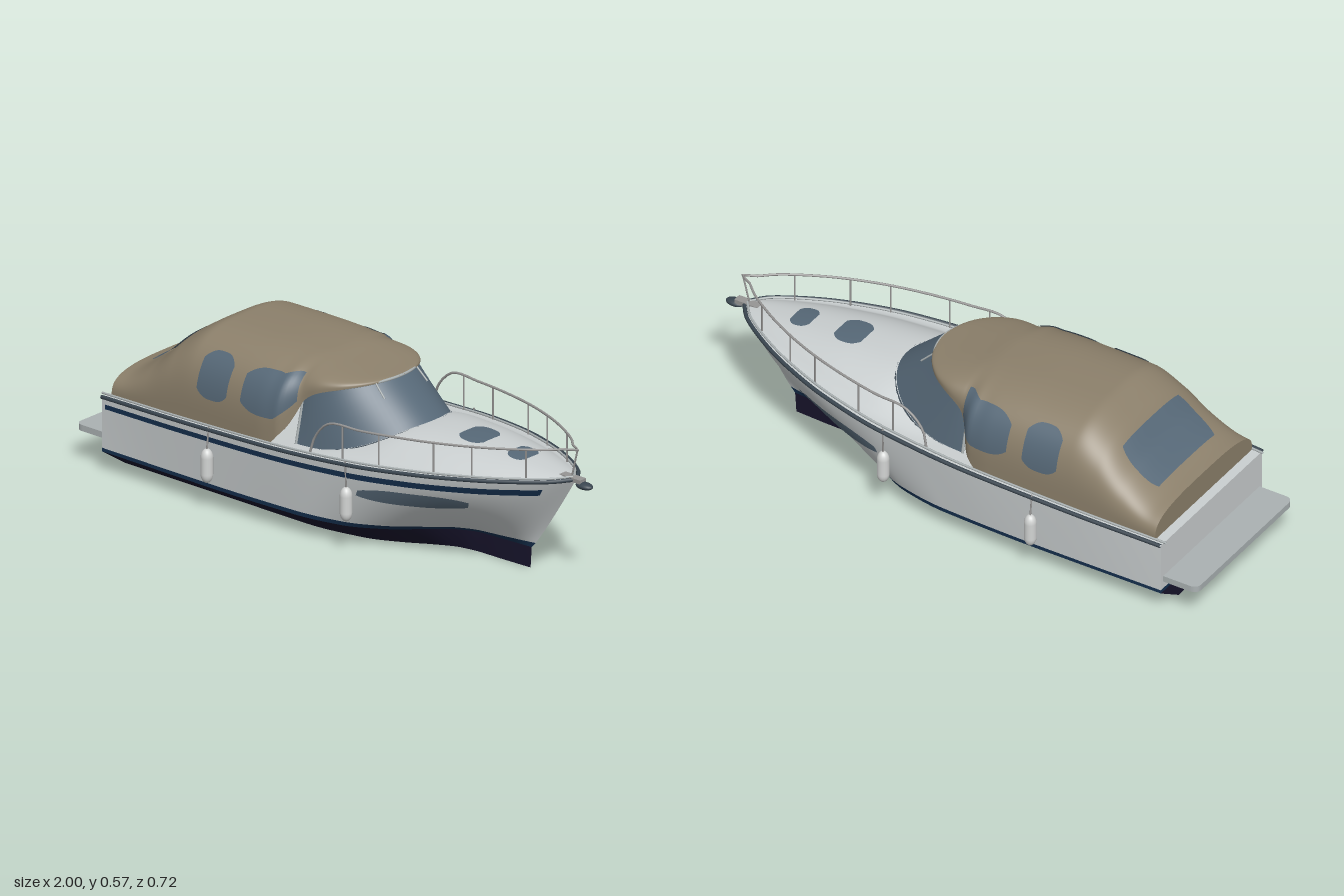
import * as THREE from 'three';

const mat = (name, color) => {
  const m = new THREE.MeshStandardMaterial({ color, side: THREE.DoubleSide });
  m.name = name;
  return m;
};
const lerp = THREE.MathUtils.lerp;

// smooth, overshoot-free curve through [x, y] pairs
function curve(pts) {
  const n = pts.length - 1, d = [], m = [];
  for (let i = 0; i < n; i++) d.push((pts[i + 1][1] - pts[i][1]) / (pts[i + 1][0] - pts[i][0]));
  for (let i = 0; i <= n; i++) {
    const a = d[Math.max(i - 1, 0)], b = d[Math.min(i, n - 1)];
    m.push(a * b <= 0 ? 0 : (2 * a * b) / (a + b));
  }
  return (x) => {
    x = Math.min(Math.max(x, pts[0][0]), pts[n][0]);
    let i = 0;
    while (i < n - 1 && x > pts[i + 1][0]) i++;
    const h = pts[i + 1][0] - pts[i][0], t = (x - pts[i][0]) / h, t2 = t * t, t3 = t2 * t;
    return (2 * t3 - 3 * t2 + 1) * pts[i][1] + (t3 - 2 * t2 + t) * h * m[i]
      + (3 * t2 - 2 * t3) * pts[i + 1][1] + (t3 - t2) * h * m[i + 1];
  };
}

// hull lines: u runs stern to stem, widths are half-beams; the low forefoot pinches into a fin
const sheerW = curve([[0, .31], [.2, .325], [.4, .33], [.6, .312], [.73, .27], [.85, .195], [.93, .118], [.98, .05], [1, 0]]);
const sheerY = curve([[0, .265], [.48, .3], [.76, .335], [1, .363]]);
const chineW = curve([[0, .31], [.3, .313], [.52, .303], [.63, .272], [.71, .205], [.77, .12], [.82, .048], [.87, .015], [.92, .009], [1, 0]]);
const keelW = curve([[0, .2], [.5, .2], [.64, .165], [.71, .115], [.77, .058], [.82, .02], [.87, .008], [.92, .006], [1, 0]]);
const bulge = curve([[0, 1], [.5, 1.1], [.82, 2.2], [.92, 2], [1, 1.3]]);
const CHINE = .073, STERN = -.87, BOOT = .065;

const hull = (side, u, t) => [
  lerp(STERN, .735 + .195 * Math.pow(t, .9), u),
  lerp(CHINE, sheerY(u), t),
  side * lerp(chineW(u), sheerW(u), 1 - Math.pow(1 - t, bulge(u))),
];
const bottom = (side, u, t) => [
  lerp(STERN, .73 + .005 * t, u), CHINE * t, side * lerp(keelW(u), chineW(u), t),
];

// deck with a raised foredeck
const domeH = curve([[STERN, 0], [0, 0], [.15, .055], [.3, .083], [.45, .075], [.65, .05], [.85, .015], [.93, 0]]);
const deckY = (x, z) => {
  const u = (x - STERN) / 1.8, v = Math.abs(z) / Math.max(sheerW(u), .001);
  return sheerY(u) + domeH(x) * (1 - Math.pow(Math.min(1, v / .85), 2.5));
};

// canopy: superellipse sections along x, the front rounding in over the windscreen
const N = 3.1;
const canW = curve([[-.84, .297], [-.2, .308], [-.12, .299], [-.06, .238], [0, .225], [.06, .198], [.11, .153], [.145, .095], [.165, .02]]);
const canTop = curve([[-.84, .36], [-.8, .37], [-.7, .435], [-.6, .525], [-.5, .573], [-.3, .574], [-.1, .566], [0, .55], [.1, .535], [.165, .528]]);
const canBase = curve([[-.84, .27], [-.16, .288], [-.1, .345], [-.05, .45], [0, .483], [.06, .502], [.11, .513], [.165, .522]]);
const canopy = (x, a) => {
  const c = Math.cos(a), s = Math.max(Math.sin(a), 0), b = canBase(x);
  return [x, b + (canTop(x) - b) * Math.pow(s, 2 / N), Math.sign(c) * canW(x) * Math.pow(Math.abs(c), 2 / N)];
};
const canopySide = (side, x, y) => {
  const k = (y - canBase(x)) / (canTop(x) - canBase(x));
  return [x, y, side * (canW(x) * Math.pow(Math.max(0, 1 - Math.pow(Math.max(k, 0), N)), 1 / N) + .006)];
};
const canopyRoof = (x, z) => {
  const b = canBase(x);
  return [x, b + (canTop(x) - b) * Math.pow(1 - Math.pow(Math.abs(z) / canW(x), N), 1 / N) + .006, z];
};

// wraparound windscreen, a from -1 to 1 across, t base to top
const screen = (a, t) => {
  const q = a * Math.PI / 2, c = Math.max(Math.cos(q), 0), s = Math.sin(q);
  const bx = -.07 + .38 * Math.pow(c, .8), bz = .255 * s;
  return [lerp(bx, -.07 + .232 * c, t), lerp(deckY(bx, bz) - .006, .44 + .084 * Math.sqrt(c), t), lerp(bz, .22 * s, t)];
};

export function createModel() {
  const g = new THREE.Group();
  g.name = 'cabinCruiser';
  const white = mat('gelcoat white', 0xc9cecf), antifoul = mat('antifouling navy', 0x17142b);
  const blue = mat('stripe blue', 0x15304f), tan = mat('canvas tan', 0x8c806b);
  const glass = mat('tinted glass', 0x566877), rubber = mat('rub rail slate', 0x3a4650);
  const steel = mat('stainless steel', 0x969594), grey = mat('platform grey', 0xaab1b2);
  const fenderMat = mat('fender white', 0xd2d4d3);

  const add = (geo, m, name) => {
    const mesh = new THREE.Mesh(geo, m);
    mesh.name = name;
    g.add(mesh);
    return mesh;
  };
  // grid over fn(a, b) with a and b in 0..1
  const surf = (fn, na, nb, m, name) => {
    const pos = [], idx = [];
    for (let i = 0; i <= na; i++) for (let j = 0; j <= nb; j++) {
      pos.push(...fn(i / na, j / nb));
      if (i < na && j < nb) {
        const k = i * (nb + 1) + j, l = k + nb + 1;
        idx.push(k, k + 1, l, k + 1, l + 1, l);
      }
    }
    const geo = new THREE.BufferGeometry();
    geo.setAttribute('position', new THREE.Float32BufferAttribute(pos, 3));
    geo.setIndex(idx);
    geo.computeVertexNormals();
    return add(geo, m, name);
  };
  // patch with narrowed ends laid on a surface
  const patch = (fn, a0, a1, b0, b1, cut, m, name) => surf((i, j) => {
    const k = 1 - cut * Math.pow(Math.abs(2 * i - 1), 3);
    return fn(lerp(a0, a1, i), lerp(b0, b1, .5 + (j - .5) * k));
  }, 20, 14, m, name);
  const tube = (pts, r, m, name) => {
    const path = new THREE.CatmullRomCurve3(pts.map((p) => new THREE.Vector3(...p)));
    return add(new THREE.TubeGeometry(path, pts.length * 4, r, 8), m, name);
  };

  // hull sides, boot stripe, bottom, rub rail
  const off = (side, u, t) => { const p = hull(side, u, t); p[2] += side * .005; return p; };
  for (const s of [1, -1]) {
    surf((u, t) => hull(s, u, lerp(BOOT, 1, t)), 100, 20, white, 'hullSide');
    surf((u, t) => hull(s, u, BOOT * t), 100, 1, blue, 'bootStripe');
    surf((u, t) => bottom(s, u, t), 100, 2, antifoul, 'hullBottom');
    patch((u, t) => off(s, u, t), .64, .857, .49, .7, .6, glass, 'hullWindow');
    const edge = [];
    for (let i = 0; i <= 40; i++) {
      const p = hull(s, i / 40, 1);
      edge.push([p[0], p[1], p[2] + s * .002]);
    }
    tube(edge, .007, rubber, 'rubRail');
    tube(edge.map((p) => [p[0] - .012, p[1] + .007, p[2] * .95]), .004, grey, 'toeRail');
  }
  surf((a, b) => off(1, lerp(.01, .966, a), lerp(.8, .885, b)), 70, 2, blue, 'sideStripe');

  // transom, inner sole and deck
  surf((a, t) => { const p = hull(1, 0, lerp(BOOT, 1, t)); p[2] *= 1 - 2 * a; return p; }, 1, 1, white, 'transom');
  surf((a, t) => { const p = hull(1, 0, BOOT * t); p[2] *= 1 - 2 * a; return p; }, 1, 1, blue, 'transomStripe');
  surf((a, t) => { const p = bottom(1, 0, t); p[2] *= 1 - 2 * a; return p; }, 1, 1, antifoul, 'transomBottom');
  surf((u, v) => { const p = hull(1, u * .95, .42); p[2] *= .985 * (1 - 2 * v); return p; }, 60, 2, white, 'innerSole');
  surf((u, v) => {
    const x = lerp(STERN, .93, u), z = sheerW(u) * (2 * v - 1);
    return [x, deckY(x, z), z];
  }, 70, 32, white, 'deck');
  for (const [x0, x1, w] of [[.455, .56, .066], [.66, .735, .053]])
    patch((x, z) => [x, deckY(x, z) + .005, z], x0, x1, -w, w, .4, glass, 'deckHatch');

  // swim platform
  const pl = new THREE.Shape();
  pl.moveTo(-.86, -.295); pl.lineTo(-.97, -.295);
  pl.quadraticCurveTo(-1, -.295, -1, -.265);
  pl.lineTo(-1, .265);
  pl.quadraticCurveTo(-1, .295, -.97, .295);
  pl.lineTo(-.86, .295);
  const platform = add(new THREE.ExtrudeGeometry(pl, { depth: .022, bevelEnabled: false }), grey, 'swimPlatform');
  platform.rotation.x = Math.PI / 2;
  platform.position.y = .134;

  // canvas canopy and its windows
  surf((i, j) => canopy(lerp(-.84, .165, i), Math.PI * j), 100, 60, tan, 'canopy');
  surf((i, j) => {
    const p = canopy(-.84, Math.PI * j);
    return [-.84, lerp(.27, p[1], i), p[2] * i];
  }, 1, 60, tan, 'canopyBack');
  for (const s of [1, -1]) {
    patch((x, y) => canopySide(s, x, y), -.462, -.33, .378, .528, .35, glass, 'canopyWindow');
    patch((x, y) => canopySide(s, x, y + .6 * Math.max(0, x + .13)), -.27, -.07, .38, .525, .4, glass, 'canopyWindow');
  }
  patch(canopyRoof, -.775, -.635, -.185, .185, .08, glass, 'canopyRearWindow');

  // windscreen with frame and struts
  surf((i, j) => screen(2 * i - 1, j), 48, 6, glass, 'windscreen');
  const across = (t) => Array.from({ length: 25 }, (_, i) => screen(i / 12 - 1, t));
  tube(across(0), .006, rubber, 'windscreenBase');
  tube(across(1), .005, grey, 'windscreenTop');
  for (const s of [1, -1]) {
    tube([screen(s, 0), screen(s, .5), screen(s, 1)], .005, grey, 'windscreenEnd');
    tube([.7, .85, 1].map((t) => { const p = screen(s * .3, t); p[0] += .005; return p; }), .003, grey, 'windscreenStrut');
  }

  // bow rail and stanchions
  const foot = (u, s) => [lerp(STERN, .925, u), sheerY(u) + .005, s * Math.max(sheerW(u) - .018, 0)];
  const railY = (u) => lerp(.43, .468, (u - .54) / .46);
  const rail = [];
  const us = [.55, .62, .7, .78, .86, .92, .96, .985];
  for (const u of us) { const p = foot(u, 1); rail.push([p[0], railY(u), p[2]]); }
  const half = [foot(.505, 1), [.055, .37, .3], ...rail];
  tube([...half, [.938, .468, 0], ...half.map((p) => [p[0], p[1], -p[2]]).reverse()], .0042, steel, 'bowRail');
  for (const s of [1, -1]) for (const u of [.58, .66, .77, .84, .93]) {
    const p = foot(u, s);
    tube([p, [p[0], railY(u), p[2]]], .003, steel, 'stanchion');
  }
  tube([[.91, .365, 0], [.936, .468, 0]], .003, steel, 'stanchion');

  // anchor on its roller
  add(new THREE.BoxGeometry(.09, .014, .03).translate(.915, .364, 0), steel, 'anchorRoller');
  add(new THREE.SphereGeometry(1, 20, 12).scale(.034, .012, .021).translate(.966, .35, 0), rubber, 'anchor');

  // fenders hung on ropes
  for (const s of [1, -1]) for (const [x, y, z] of [[-.385, .161, .339], [.2, .174, .311]]) {
    add(new THREE.CapsuleGeometry(.021, .038, 10, 16).scale(1, 1.5, 1).translate(x, y, s * z), fenderMat, 'fender');
    const u = (x - STERN) / 1.8;
    tube([[x, y + .058, s * z], [x, sheerY(u) + .012, s * (sheerW(u) + .002)]], .003, steel, 'fenderRope');
  }
  return g;
}
